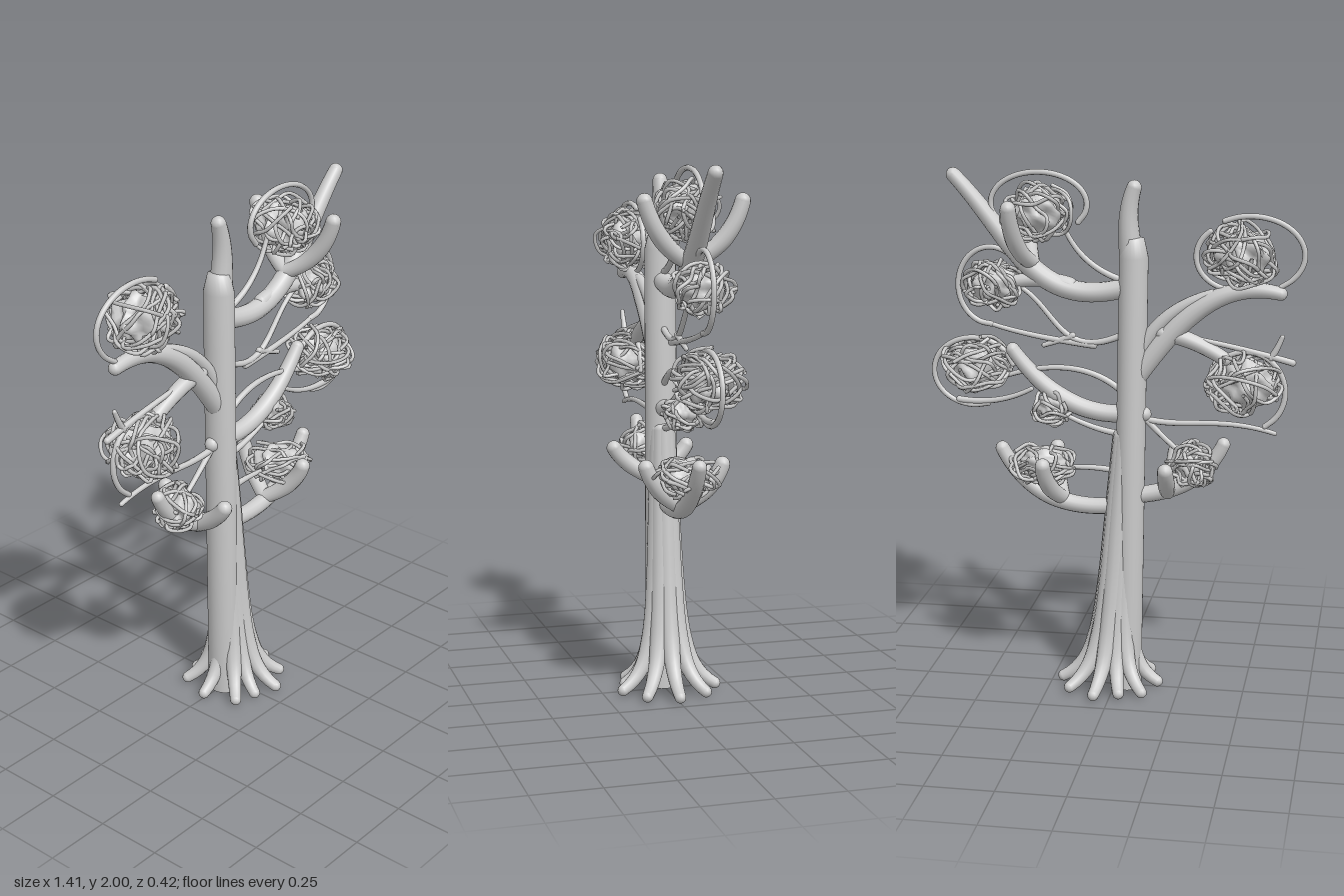
import * as THREE from 'three';

const material = new THREE.MeshStandardMaterial({ color: 0xcccccc, side: THREE.DoubleSide });

// Small seeded generator for the tangles
let seed = 7;
function rand() {
  seed = (seed * 16807) % 2147483647;
  return seed / 2147483647;
}
const randomVector = () => new THREE.Vector3(rand() - 0.5, rand() - 0.5, rand() - 0.5);

function addMesh(group, name, geometry) {
  const mesh = new THREE.Mesh(geometry, material);
  mesh.name = name;
  group.add(mesh);
  return mesh;
}

// Bezier curve through two ends with one or two control points
function bend(...points) {
  const p = points.map(([x, y, z = 0]) => new THREE.Vector3(x, y, z));
  return p.length === 3 ? new THREE.QuadraticBezierCurve3(...p) : new THREE.CubicBezierCurve3(...p);
}

// Tube along a curve whose radius follows a list of values, with rounded ends
function limb(group, name, curve, radii, segments = 40, sides = 14) {
  const geometry = new THREE.TubeGeometry(curve, segments, 1, sides);
  const pos = geometry.attributes.position;
  const v = new THREE.Vector3();
  for (let i = 0; i <= segments; i++) {
    const c = curve.getPointAt(i / segments);
    const f = (i / segments) * (radii.length - 1);
    const k = Math.min(Math.floor(f), radii.length - 2);
    const r = THREE.MathUtils.lerp(radii[k], radii[k + 1], f - k);
    for (let j = 0; j <= sides; j++) {
      const n = i * (sides + 1) + j;
      v.fromBufferAttribute(pos, n).sub(c).multiplyScalar(r).add(c);
      pos.setXYZ(n, v.x, v.y, v.z);
    }
  }
  const part = new THREE.Group();
  part.name = name;
  addMesh(part, name + 'Tube', geometry);
  [0, 1].forEach((t) => {
    const ball = new THREE.SphereGeometry(t ? radii[radii.length - 1] : radii[0], sides, 8);
    addMesh(part, name + 'End', ball).position.copy(curve.getPointAt(t));
  });
  group.add(part);
}

// Thin vine that curls round part of an ellipse, angles in degrees
function curl(group, x, y, rx, ry, from, to) {
  const points = Array.from({ length: 13 }, (_, i) => {
    const a = THREE.MathUtils.degToRad(THREE.MathUtils.lerp(from, to, i / 12));
    return new THREE.Vector3(x + rx * Math.cos(a), y + ry * Math.sin(a), 0);
  });
  limb(group, 'curledVine', new THREE.CatmullRomCurve3(points), [0.011, 0.01], 48, 8);
}

// Ball of tangled twigs: a lumpy core wrapped in wandering strands
function tangle(group, x, y, rx, ry, strands) {
  const nest = new THREE.Group();
  nest.name = 'twigBall';
  nest.position.set(x, y, 0);
  const core = new THREE.SphereGeometry(1, 32, 20);
  const pos = core.attributes.position;
  const p = new THREE.Vector3();
  for (let i = 0; i < pos.count; i++) {
    p.fromBufferAttribute(pos, i);
    p.multiplyScalar(0.66 + 0.09 * Math.sin(7 * p.x + x * 9) * Math.cos(6 * p.y) + 0.08 * Math.sin(9 * p.z + 4 * p.y));
    pos.setXYZ(i, p.x * rx, p.y * ry, p.z * rx);
  }
  core.computeVertexNormals();
  addMesh(nest, 'twigBallCore', core);
  for (let s = 0; s < strands; s++) {
    // Each strand winds about an axis that drifts
    const axis = randomVector().normalize();
    const dir = randomVector().cross(axis).normalize();
    const points = [];
    for (let i = 0; i < 26; i++) {
      axis.addScaledVector(randomVector(), 0.7).normalize();
      dir.applyAxisAngle(axis, 0.6).normalize();
      const r = 0.62 + 0.4 * rand();
      points.push(new THREE.Vector3(dir.x * rx * r, dir.y * ry * r, dir.z * rx * r));
    }
    addMesh(nest, 'twigStrand', new THREE.TubeGeometry(new THREE.CatmullRomCurve3(points), 120, 0.0075, 5));
  }
  group.add(nest);
}

export function createModel() {
  const tree = new THREE.Group();
  tree.name = 'tree';

  // Leaning trunk with a pointed shoulder, and a slim leader above it
  const profile = [[0, 0], [0.057, 0], [0.054, 1.68], [0.038, 1.75], [0, 1.76]];
  const trunk = new THREE.LatheGeometry(profile.map(([r, y]) => new THREE.Vector2(r, y)), 24);
  trunk.applyMatrix4(new THREE.Matrix4().makeShear(0, 0, -0.014, 0, 0, 0));
  trunk.scale(1, 1, 1.1);
  addMesh(tree, 'trunk', trunk).position.x = -0.046;
  limb(tree, 'leader', bend([-0.07, 1.5], [-0.07, 1.72], [-0.025, 1.8], [-0.07, 1.935]), [0.05, 0.047, 0.038, 0.028]);

  // Roots: ribs down the trunk that flare out at the ground
  const root = (x, z) => {
    const points = Array.from({ length: 11 }, (_, i) => {
      const y = 0.022 + 0.98 * (1 - i / 10) ** 2.5;
      const flare = 0.1 / (y + 0.078);
      return new THREE.Vector3(0.015 + x * flare - 0.055 * y, y, z * flare);
    });
    limb(tree, 'root', new THREE.CatmullRomCurve3(points), [0.032, 0.038, 0.04, 0.039, 0.035, 0.022], 36, 12);
  };
  root(0.19, 0);
  root(-0.18, 0);
  for (const side of [1, -1]) {
    root(0.145, 0.115 * side);
    root(0.042, 0.182 * side);
    root(-0.05, 0.15 * side);
    root(-0.135, 0.125 * side);
  }

  // Main branches
  const branch = (radii, ...points) => limb(tree, 'branch', bend(...points), radii);
  branch([0.03, 0.034, 0.027], [-0.02, 0.73], [0.3, 0.68], [0.435, 0.935]);
  branch([0.032, 0.033, 0.026], [-0.05, 0.77], [-0.32, 0.79], [-0.41, 0.985]);
  branch([0.033, 0.035, 0.026], [-0.05, 1.09], [0.2, 1.06], [0.39, 1.32]);
  branch([0.036, 0.039, 0.027], [-0.05, 1.57], [0.3, 1.46], [0.38, 1.74], [0.605, 1.97]);
  branch([0.03, 0.025], [0.17, 1.57], [0.26, 1.6], [0.37, 1.58]);
  branch([0.04, 0.04, 0.025], [-0.07, 1.22], [-0.2, 1.4], [-0.35, 1.62], [-0.61, 1.56]);
  branch([0.03, 0.02], [-0.08, 1.28], [-0.14, 1.48], [-0.36, 1.55]);
  branch([0.032, 0.026], [-0.18, 1.4], [-0.28, 1.39], [-0.41, 1.31]);
  branch([0.03, 0.028], [-0.06, 1.09], [-0.08, 1.09], [-0.11, 1.09]);

  // Forks reaching forward and back from the branches
  const forks = (x0, y0, x1, y1, reach) => [reach, -reach].forEach((z) => {
    limb(tree, 'forkedBranch', bend([x0, y0], [x1, y0 + 0.06, z * 0.75], [x1, y1, z]), [0.028, 0.033, 0.029], 24);
  });
  forks(0.2, 0.75, 0.25, 0.91, 0.145);
  forks(-0.2, 0.79, -0.21, 0.91, 0.145);
  forks(0.31, 1.65, 0.36, 1.87, 0.18);

  // Thin vines from the trunk to the twig balls
  const vine = (...points) => limb(tree, 'vine', bend(...points), [0.013, 0.009], 32, 8);
  vine([-0.04, 1.59], [0.14, 1.64], [0.2, 1.81]);
  vine([-0.03, 1.39], [0.22, 1.27], [0.22, 1.5], [0.38, 1.57]);
  vine([0.08, 1.345], [0.32, 1.37], [0.47, 1.415]);
  vine([0.16, 1.38], [0.21, 1.36], [0.27, 1.34]);
  vine([-0.03, 1.17], [0.14, 1.32], [0.44, 1.21]);
  vine([0.6, 1.12], [0.45, 1.1], [0.32, 1.17]);
  vine([-0.02, 1.01], [0.08, 1.02], [0.2, 1.08]);
  vine([-0.02, 0.86], [0.06, 0.88], [0.18, 0.87]);
  vine([-0.08, 1.11], [-0.18, 1.0], [-0.28, 0.92]);
  vine([-0.08, 1.08], [-0.25, 1.03], [-0.38, 1.1], [-0.6, 1.035]);
  vine([-0.66, 1.305], [-0.45, 1.36], [-0.26, 1.39]);
  vine([-0.58, 1.32], [-0.6, 1.35], [-0.62, 1.4]);

  // Vines curling round the twig balls
  curl(tree, 0.285, 1.87, 0.18, 0.115, 215, -35);
  curl(tree, 0.47, 1.56, 0.125, 0.145, -90, 150);
  curl(tree, 0.54, 1.23, 0.155, 0.13, 165, -110);
  curl(tree, -0.49, 1.19, 0.145, 0.15, 240, 0);
  curl(tree, -0.5, 1.7, 0.195, 0.14, 60, 235);
  curl(tree, -0.44, 1.69, 0.14, 0.12, 50, -100);

  // Twig balls
  tangle(tree, 0.29, 1.84, 0.14, 0.115, 7);
  tangle(tree, 0.46, 1.565, 0.12, 0.1, 6);
  tangle(tree, 0.53, 1.255, 0.135, 0.12, 7);
  tangle(tree, 0.245, 1.105, 0.085, 0.075, 4);
  tangle(tree, 0.28, 0.88, 0.13, 0.085, 6);
  tangle(tree, -0.295, 0.905, 0.1, 0.09, 6);
  tangle(tree, -0.49, 1.22, 0.15, 0.13, 8);
  tangle(tree, -0.47, 1.7, 0.145, 0.125, 8);

  return tree;
}
